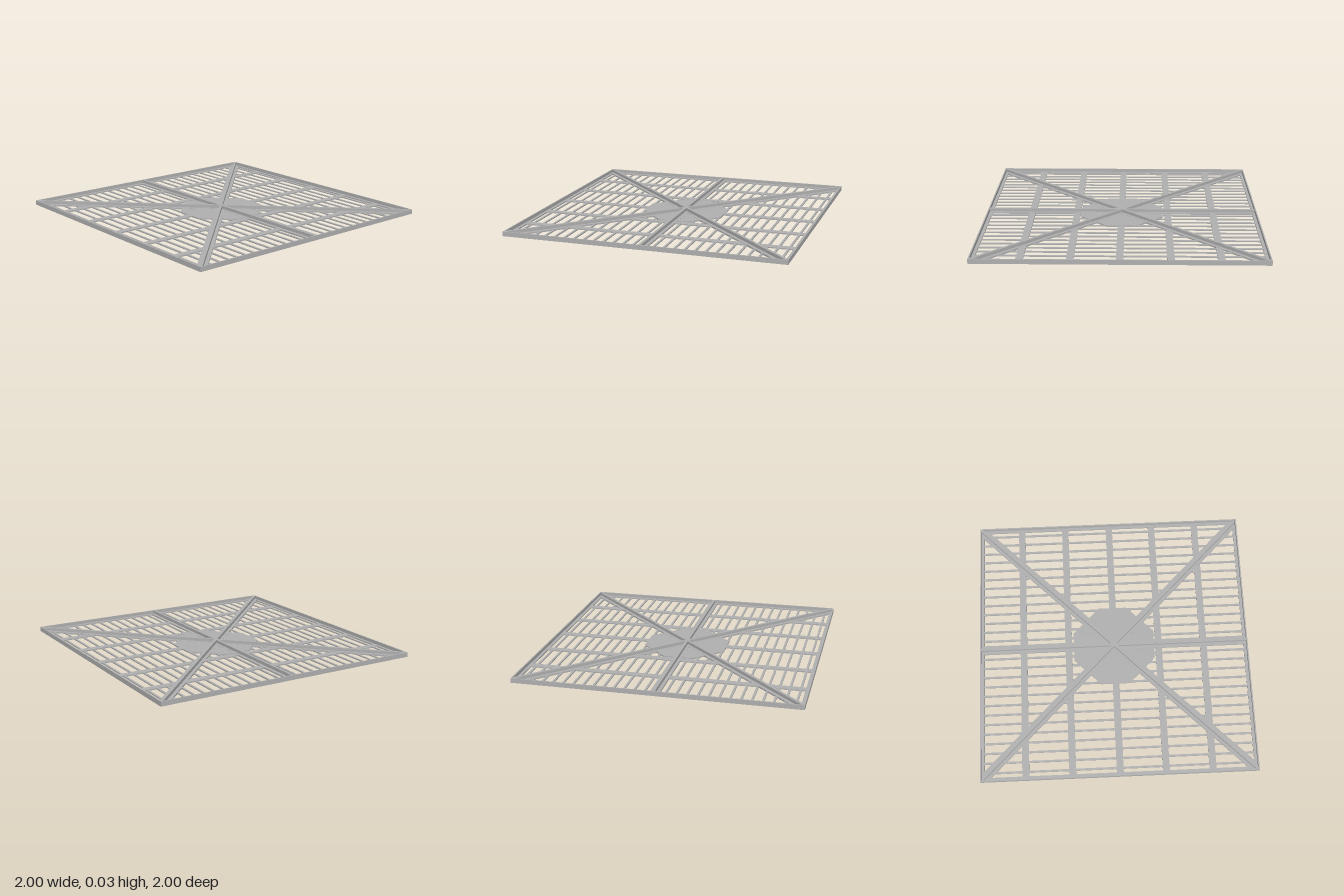
import * as THREE from 'three';

const HEIGHT = 0.033; // overall depth of the angle sections
const THICK = 0.009; // thickness of flats and flanges
const LEG = 0.031; // width of one angle leg

export function createModel() {
  const model = new THREE.Group();
  model.name = 'gratePanel';
  const steel = new THREE.MeshStandardMaterial({ color: 0xb0b0b0 });
  steel.name = 'steelGrey';

  const add = (parent, name, geometry) => {
    const mesh = new THREE.Mesh(geometry, steel);
    mesh.name = name;
    parent.add(mesh);
    return mesh;
  };
  // Box resting on height y0
  const bar = (parent, name, w, h, d, x, z, y0 = 0) => {
    const mesh = add(parent, name, new THREE.BoxGeometry(w, h, d));
    mesh.position.set(x, y0 + h / 2, z);
  };
  // Flat outline in x/z raised to height h
  const plate = (parent, name, points, h) => {
    const shape = new THREE.Shape(points.map(([x, z]) => new THREE.Vector2(x, z)));
    const g = new THREE.ExtrudeGeometry(shape, { depth: h, bevelEnabled: false });
    g.rotateX(-Math.PI / 2);
    return add(parent, name, g);
  };

  // Outer frame: angle sections with the upright leg outside
  const frame = new THREE.Group();
  frame.name = 'outerFrame';
  model.add(frame);
  for (const s of [-1, 1]) {
    bar(frame, 'endRailWeb', 2, HEIGHT, THICK, 0, s * (1 - THICK / 2));
    bar(frame, 'endRailFlange', 2, THICK, LEG, 0, s * (1 - LEG / 2));
    bar(frame, 'sideRailWeb', THICK, HEIGHT, 2 - 2 * THICK, s * (1 - THICK / 2), 0);
    bar(frame, 'sideRailFlange', LEG, THICK, 2 - 2 * LEG, s * (1 - LEG / 2), 0);
  }

  // Thin slats running front to back
  const slats = new THREE.Group();
  slats.name = 'slats';
  model.add(slats);
  for (let i = -13; i <= 13; i++) {
    if (i !== 0) bar(slats, 'slat', 0.015, THICK - 0.001, 1.95, i * 0.072, 0);
  }

  // Flat cross bars
  for (let i = -2; i <= 2; i++) {
    bar(model, 'crossBar', 1.95, THICK, 0.05, 0, i * 0.336 - 0.003 + 0.005 * (i === 0));
  }

  // Central gusset plate
  const a = 0.3, b = 0.105;
  plate(model, 'centrePlate',
    [[a, -b], [a, b], [b, a], [-b, a], [-a, b], [-a, -b], [-b, -a], [b, -a]], THICK + 0.001);

  // Middle beam: inverted tee
  const beam = new THREE.Group();
  beam.name = 'middleBeam';
  model.add(beam);
  bar(beam, 'beamFlange', 0.068, THICK + 0.002, 1.95, 0, 0);
  bar(beam, 'beamWeb', 0.02, HEIGHT, 1.98, 0, 0);

  // Diagonal braces: inverted tees pointed to fit the corners
  const pointed = (half, w) => [[half, 0], [half - w, w], [-half + w, w],
    [-half, 0], [-half + w, -w], [half - w, -w]];
  for (const s of [-1, 1]) {
    const brace = new THREE.Group();
    brace.name = 'diagonalBrace';
    brace.rotation.y = s * Math.PI / 4;
    model.add(brace);
    plate(brace, 'braceFlange', pointed(1.4, 0.034), THICK + 0.002);
    plate(brace, 'braceWeb', pointed(1.4, 0.01), HEIGHT);
  }

  return model;
}
